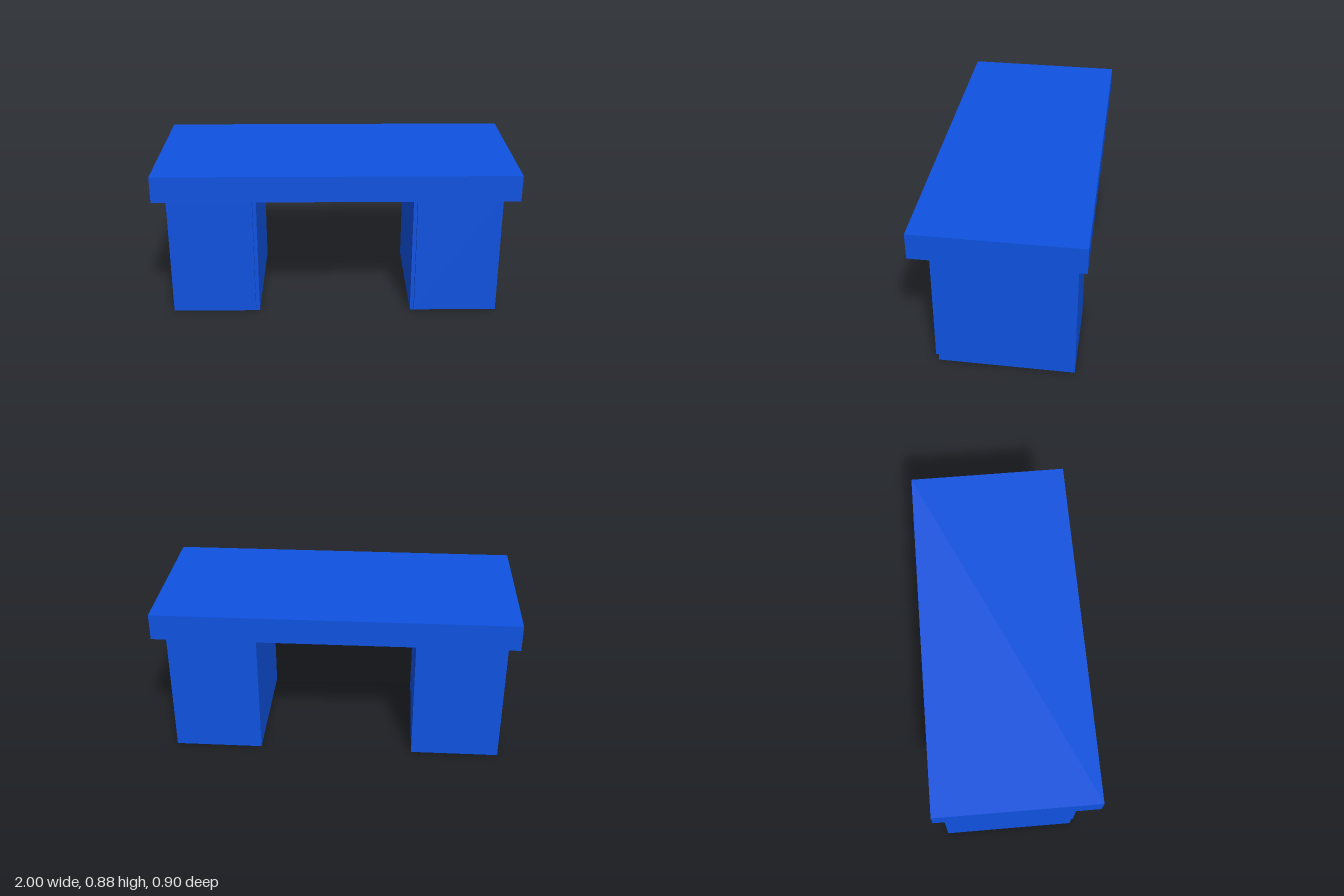
import * as THREE from 'three';

export function createModel() {
  const desk = new THREE.Group();
  desk.name = 'desk';
  const material = new THREE.MeshStandardMaterial({ color: 0x0f52e0 });

  // Box given by its extents on each axis
  function box(name, [x0, x1], [y0, y1], [z0, z1], parent) {
    const mesh = new THREE.Mesh(new THREE.BoxGeometry(x1 - x0, y1 - y0, z1 - z0), material);
    mesh.position.set((x0 + x1) / 2, (y0 + y1) / 2, (z0 + z1) / 2);
    mesh.name = name;
    parent.add(mesh);
  }

  // Thick overhanging slab
  box('deskTop', [-1, 1], [0.732, 0.879], [-0.449, 0.449], desk);

  // Two cabinets, each with a raised door on the front
  for (const [side, x] of [['right', -0.693], ['left', 0.68]]) {
    const pedestal = new THREE.Group();
    pedestal.name = side + 'Pedestal';
    pedestal.position.x = x;
    box(side + 'Cabinet', [-0.249, 0.249], [0, 0.732], [-0.403, 0.337], pedestal);
    box(side + 'Door', [-0.228, 0.228], [0.02, 0.706], [0.337, 0.358], pedestal);
    desk.add(pedestal);
  }
  return desk;
}
